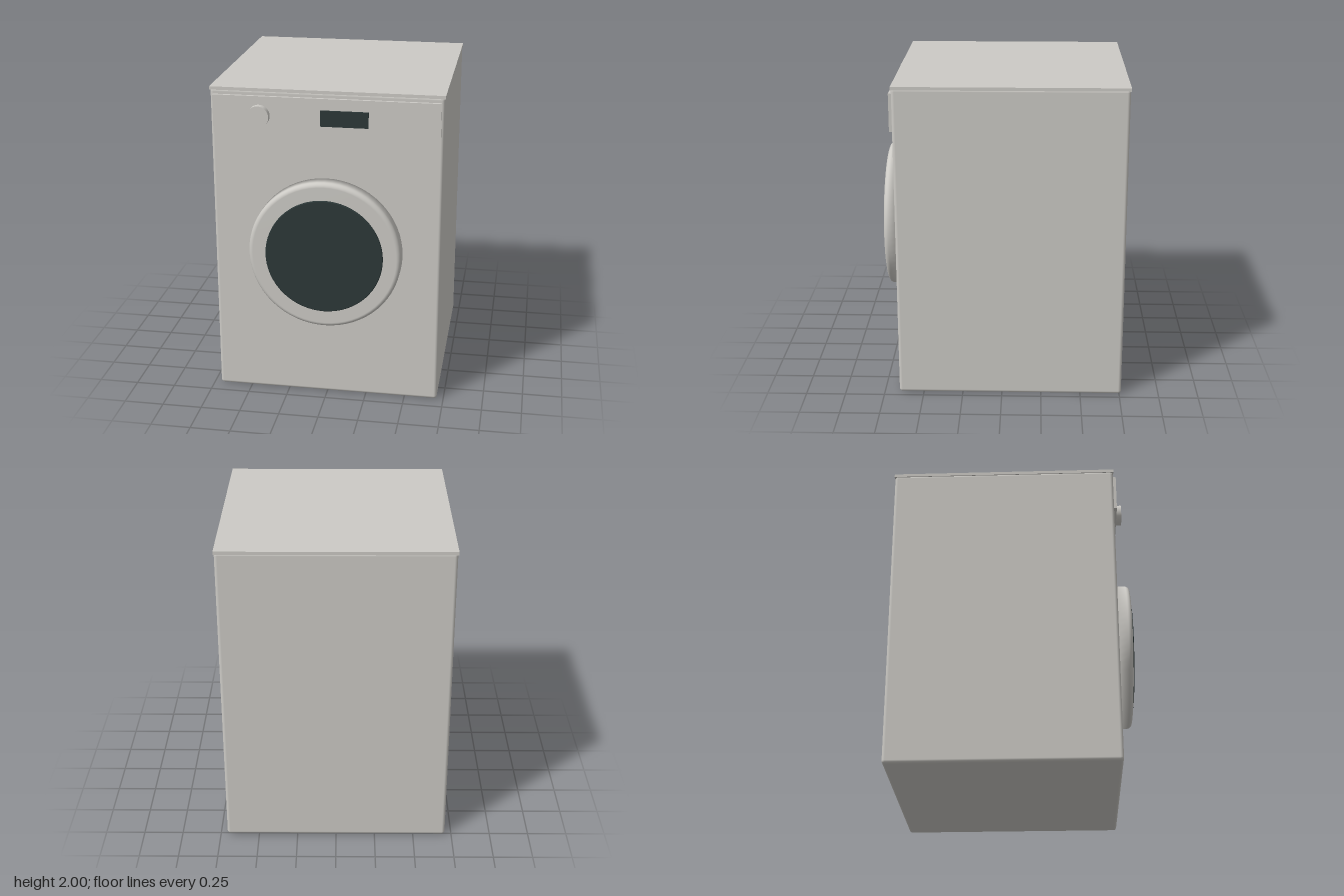
import * as THREE from 'three';
import { RoundedBoxGeometry } from 'three/addons/geometries/RoundedBoxGeometry.js';

export function createModel() {
  const group = new THREE.Group();
  const enamel = new THREE.MeshStandardMaterial({ color: 0xcccac5 });
  enamel.name = 'warm grey enamel';
  const glass = new THREE.MeshStandardMaterial({ color: 0x2c3838 });
  glass.name = 'dark glass';

  const add = (name, geometry, material, x, y, z) => {
    const mesh = new THREE.Mesh(geometry, material);
    mesh.name = name;
    mesh.position.set(x, y, z);
    group.add(mesh);
  };

  // Disc facing +z, back at z = 0, with a rounded front rim
  const disc = (radius, depth, round) => {
    const points = [new THREE.Vector2(0, 0), new THREE.Vector2(radius, 0)];
    const steps = 6;
    for (let i = 0; i <= steps; i++) {
      const a = (i / steps) * Math.PI / 2;
      points.push(new THREE.Vector2(
        radius - round + round * Math.cos(a),
        depth - round + round * Math.sin(a)));
    }
    points.push(new THREE.Vector2(0, depth));
    return new THREE.LatheGeometry(points, 64).rotateX(Math.PI / 2);
  };

  // Cabinet with softened edges and a thin, crisp worktop
  add('cabinet', new RoundedBoxGeometry(1.416, 1.99, 1.42, 4, 0.02), enamel, 0, 0.995, -0.053);
  add('worktop', new THREE.BoxGeometry(1.424, 0.02, 1.426), enamel, 0, 1.99, -0.053);

  // Control panel across the top of the front
  add('controlPanel', new THREE.BoxGeometry(1.38, 0.236, 0.03), enamel, 0, 1.837, 0.66);
  add('display', new THREE.BoxGeometry(0.29, 0.098, 0.012), glass, 0.115, 1.836, 0.679);
  add('programKnob', new THREE.CylinderGeometry(0.066, 0.066, 0.045, 48).rotateX(Math.PI / 2),
    enamel, -0.405, 1.837, 0.692);

  // Round door with its glass
  add('doorRing', disc(0.474, 0.102, 0.028), enamel, 0, 0.98, 0.655);
  add('doorGlass', disc(0.365, 0.014, 0.006), glass, 0, 0.98, 0.753);

  return group;
}
